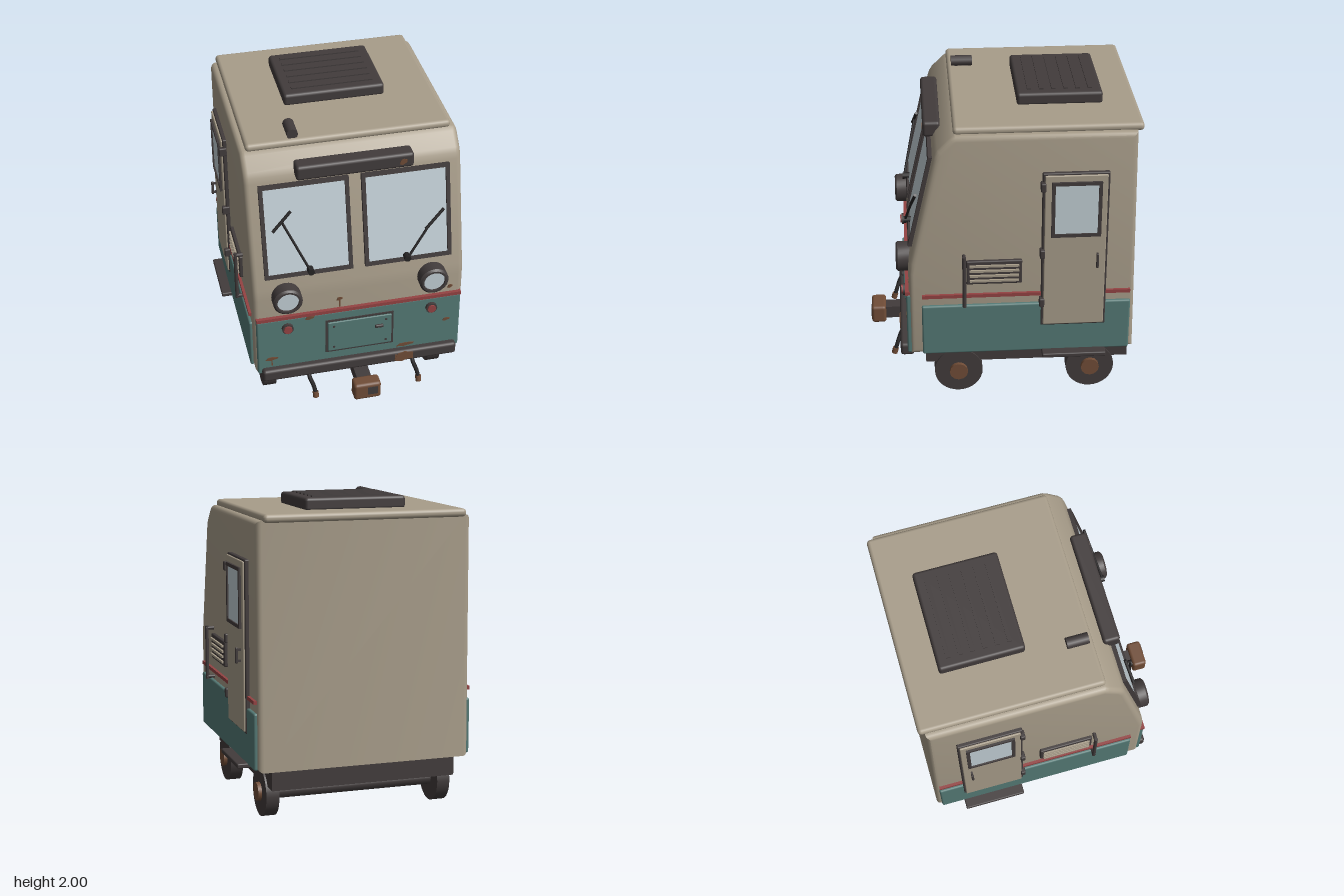
import * as THREE from 'three';
import { toCreasedNormals } from 'three/addons/utils/BufferGeometryUtils.js';
import { RoundedBoxGeometry } from 'three/addons/geometries/RoundedBoxGeometry.js';

const mat = (name, color) => Object.assign(new THREE.MeshStandardMaterial({ color }), { name });

export function createModel() {
  const root = new THREE.Group();
  root.name = 'railCab';
  const tan = mat('tanPaint', 0xa89d8a), teal = mat('tealPaint', 0x557a76), red = mat('redPaint', 0x944343);
  const dark = mat('darkMetal', 0x423c3c), black = mat('blackRubber', 0x262425);
  const glass = mat('paleGlass', 0xc3d0d6), rust = mat('rust', 0x714d37);

  const add = (name, geo, m, x = 0, y = 0, z = 0, parent = root) => {
    const mesh = new THREE.Mesh(geo, m);
    mesh.name = name;
    mesh.position.set(x, y, z);
    parent.add(mesh);
    return mesh;
  };
  // Boxes given by their limits on each axis; r rounds the edges
  const box = (name, m, [x0, x1], [y0, y1], [z0, z1], r = 0, parent = root) => {
    const s = [Math.abs(x1 - x0), Math.abs(y1 - y0), Math.abs(z1 - z0)];
    const geo = r ? new RoundedBoxGeometry(...s, 2, r) : new THREE.BoxGeometry(...s);
    return add(name, geo, m, (x0 + x1) / 2, (y0 + y1) / 2, (z0 + z1) / 2, parent);
  };
  const rod = (name, m, a, b, r, parent = root) => {
    const p = new THREE.Vector3(...a), d = new THREE.Vector3(...b).sub(p);
    const mesh = add(name, new THREE.CylinderGeometry(r, r, d.length(), 12), m, 0, 0, 0, parent);
    mesh.position.copy(p).addScaledVector(d, 0.5);
    mesh.quaternion.setFromUnitVectors(new THREE.Vector3(0, 1, 0), d.normalize());
    return mesh;
  };
  // Rectangular frame in the xy plane
  const frame = (w, h, t, depth) => {
    const s = new THREE.Shape(), hole = new THREE.Path();
    const rect = (p, a, b) => p.moveTo(-a, -b).lineTo(a, -b).lineTo(a, b).lineTo(-a, b).closePath();
    rect(s, w / 2, h / 2);
    rect(hole, w / 2 - t, h / 2 - t);
    s.holes.push(hole);
    return new THREE.ExtrudeGeometry(s, { depth, bevelEnabled: false });
  };

  // Body shell: side profile extruded across the width
  const profile = [[-0.845, 0.345], [0.594, 0.345], [0.594, 0.94], [0.585, 1.016], [0.424, 1.72],
    [0.413, 1.755], [0.395, 1.785], [0.32, 1.86], [0.29, 1.88], [-0.82, 1.88]];
  const R = 0.035, W = 0.69;
  const bodyGeo = new THREE.ExtrudeGeometry(new THREE.Shape(profile.map(p => new THREE.Vector2(...p))),
    { depth: 2 * (W - R), bevelThickness: R, bevelSize: R, bevelOffset: -R, bevelSegments: 4 });
  bodyGeo.translate(0, 0, R - W).rotateY(-Math.PI / 2).scale(1, 1, 1);
  add('bodyShell', toCreasedNormals(bodyGeo, 0.6), tan);
  box('roofPanel', tan, [-0.65, 0.65], [1.868, 1.92], [-0.86, 0.3], 0.024);

  // Roof unit with ribs, and horn
  box('roofUnit', dark, [-0.327, 0.327], [1.91, 1.992], [-0.645, -0.11], 0.02);
  for (let i = 0; i < 6; i++) {
    const z = -0.57 + i * 0.076;
    box('roofUnitRib', dark, [-0.265, 0.265], [1.985, 2.0], [z - 0.013, z + 0.013]);
  }
  box('hornBase', dark, [-0.38, -0.325], [1.91, 1.95], [0.16, 0.25]);
  rod('horn', dark, [-0.352, 1.945, 0.135], [-0.352, 1.945, 0.272], 0.036);

  // Front lower panel and stripe
  box('frontPanel', teal, [-0.677, 0.677], [0.35, 0.782], [0.57, 0.612], 0.012);
  box('frontStripe', red, [-0.677, 0.677], [0.78, 0.804], [0.58, 0.617]);

  // Service hatch
  box('hatchEdge', dark, [-0.228, 0.225], [0.458, 0.722], [0.6, 0.618]);
  box('hatchDoor', teal, [-0.214, 0.211], [0.472, 0.708], [0.61, 0.628], 0.006);
  box('hatchHandle', dark, [0.098, 0.155], [0.617, 0.64], [0.62, 0.642], 0.008);
  for (const x of [-0.175, 0.172]) for (const y of [0.505, 0.675])
    rod('hatchBolt', dark, [x, y, 0.62], [x, y, 0.632], 0.008);

  // Sloped windscreen; a group lies flush with the slope
  const k = 0.2285, slopeZ = y => 0.585 - k * (y - 1.016);
  for (const s of [-1, 1]) {
    const screen = new THREE.Group();
    screen.name = 'windscreen';
    screen.position.set(s * 0.323, 1.4, slopeZ(1.4));
    screen.rotation.x = -Math.atan(k);
    root.add(screen);
    add('windscreenFrame', frame(0.566, 0.628, 0.025, 0.035), dark, 0, 0, -0.01, screen);
    add('windscreenGlass', new THREE.BoxGeometry(0.52, 0.58, 0.008), glass, 0, 0, 0.008, screen);
  }

  // Wipers
  const out = (x, y, d = 0.045) => [x, y, slopeZ(y) + d];
  for (const [pivot, tip, b0, b1] of [
    [[-0.315, 1.13], [-0.475, 1.475], [-0.54, 1.425], [-0.42, 1.545]],
    [[0.31, 1.13], [0.455, 1.33], [0.435, 1.31], [0.555, 1.43]]]) {
    rod('wiperPivot', black, out(...pivot, 0), out(...pivot, 0.055), 0.022);
    rod('wiperArm', black, out(...pivot), out(...tip), 0.008);
    rod('wiperBlade', black, out(...b0), out(...b1), 0.01);
  }

  // Destination sign
  box('signBox', dark, [-0.372, 0.37], [1.735, 1.835], [0.37, 0.478], 0.02);

  // Headlights and marker lamps
  const ringGeo = (r, t, d) => new THREE.LatheGeometry(
    [[r - t, 0], [r, 0], [r, d - 0.012], [r - 0.012, d], [r - t, d], [r - t, 0]].map(p => new THREE.Vector2(...p)), 28)
    .rotateX(Math.PI / 2);
  for (const s of [-1, 1]) {
    add('headlightRing', toCreasedNormals(ringGeo(0.095, 0.025, 0.09), 0.5), dark, s * 0.477, 0.957, 0.58);
    rod('headlightLens', glass, [s * 0.477, 0.957, 0.58], [s * 0.477, 0.957, 0.655], 0.073);
    rod('markerRing', dark, [s * 0.477, 0.71, 0.59], [s * 0.477, 0.71, 0.632], 0.038);
    rod('markerLens', red, [s * 0.477, 0.71, 0.6], [s * 0.477, 0.71, 0.642], 0.028);
  }

  // Side fittings, mirrored
  for (const s of [-1, 1]) {
    const X = (a, b) => [s * a, s * b];
    box('sidePanel', teal, X(0.67, 0.71), [0.355, 0.712], [-0.814, 0.515], 0.012);
    box('sideStripe', red, X(0.68, 0.708), [0.768, 0.791], [-0.81, 0.512]);

    // Door with window, hinges and handle
    box('doorEdge', dark, X(0.67, 0.715), [0.548, 1.632], [-0.653, -0.24], 0.008);
    box('doorLeaf', tan, X(0.69, 0.726), [0.561, 1.619], [-0.64, -0.254], 0.006);
    const win = add('doorWindowFrame', frame(0.31, 0.378, 0.022, 0.03), dark, s * 0.71, 1.389, -0.45);
    win.rotation.y = s * Math.PI / 2;
    box('doorGlass', glass, X(0.724, 0.731), [1.22, 1.56], [-0.585, -0.315]);
    for (const y of [1.545, 1.08, 0.727])
      box('doorHinge', dark, X(0.69, 0.742), [y - 0.03, y + 0.03], [-0.26, -0.228], 0.008);
    box('doorHandle', dark, X(0.745, 0.762), [0.985, 1.085], [-0.595, -0.579], 0.006);
    for (const y of [1.0, 1.07]) box('doorHandleStub', dark, X(0.72, 0.75), [y - 0.007, y + 0.007], [-0.593, -0.581]);
    box('doorStep', dark, X(0.6, 0.775), [0.335, 0.365], [-0.66, -0.25], 0.008);

    // Louvred vent
    box('ventPlate', dark, X(0.67, 0.712), [0.866, 1.032], [-0.12, 0.23], 0.008);
    for (let i = 0; i < 4; i++) {
      const y = 0.895 + i * 0.035;
      box('ventSlat', tan, X(0.7, 0.724), [y - 0.007, y + 0.007], [-0.1, 0.21]);
    }

    // Grab rail
    rod('grabRail', dark, [s * 0.738, 0.72, 0.245], [s * 0.738, 1.08, 0.245], 0.012);
    for (const y of [0.735, 1.065])
      rod('grabRailStub', dark, [s * 0.68, y, 0.245], [s * 0.745, y, 0.245], 0.012);
  }

  // Underframe, bumper and coupler
  box('underframe', dark, [-0.6, 0.6], [0.222, 0.35], [-0.825, 0.495]);
  box('bumper', dark, [-0.652, 0.652], [0.312, 0.398], [0.57, 0.658], 0.02);
  box('couplerShank', dark, [-0.048, 0.048], [0.225, 0.31], [0.45, 0.77]);
  box('couplerHead', rust, [-0.09, 0.09], [0.21, 0.335], [0.755, 0.853], 0.02);
  box('couplerFace', dark, [0, 0.065], [0.25, 0.31], [0.849, 0.856]);

  // Brake hoses
  for (const [x0, x1] of [[-0.35, -0.315], [0.35, 0.385]]) {
    const curve = new THREE.CatmullRomCurve3([[x0, 0.36, 0.62], [x0 + 0.005, 0.3, 0.655], [x1 - 0.008, 0.235, 0.68],
      [x1, 0.19, 0.695]].map(p => new THREE.Vector3(...p)));
    add('brakeHose', new THREE.TubeGeometry(curve, 12, 0.014, 8), black);
    rod('hoseEnd', rust, [x1, 0.2, 0.693], [x1, 0.162, 0.703], 0.02);
  }

  // Wheel sets
  for (const z of [0.283, -0.58]) {
    rod('axle', dark, [-0.56, 0.15, z], [0.56, 0.15, z], 0.048);
    for (const s of [-1, 1]) {
      rod('wheel', dark, [s * 0.528, 0.157, z], [s * 0.612, 0.157, z], 0.157)
        .geometry = new THREE.CylinderGeometry(0.157, 0.157, 0.084, 32);
      rod('wheelHub', rust, [s * 0.6, 0.157, z], [s * 0.636, 0.157, z], 0.06);
      box('axleHanger', dark, [s * 0.44, s * 0.528], [0.185, 0.235], [z - 0.06, z + 0.06]);
    }
  }

  // Rust patches: thin ragged plates, some with a drip
  const ragged = [[-0.5, -0.3], [-0.1, -0.5], [0.2, -0.25], [0.45, -0.1], [0.5, 0.3], [0.05, 0.5], [-0.3, 0.35]];
  const patch = (x, y, z, w, h, drip = 0) => {
    const shape = new THREE.Shape(ragged.map(([a, b]) => new THREE.Vector2(a * w, b * h)));
    const mesh = add('rustPatch', new THREE.ExtrudeGeometry(shape, { depth: 0.006, bevelEnabled: false }), rust, x, y, z);
    if (drip) box('rustDrip', rust, [x - 0.004, x + 0.004], [y - drip, y], [z, z + 0.005]);
    return mesh;
  };
  patch(-0.13, 0.873, 0.592, 0.04, 0.028, 0.065);
  patch(-0.33, 0.766, 0.61, 0.06, 0.03);
  patch(-0.585, 0.468, 0.61, 0.085, 0.028, 0.055);
  patch(0.31, 0.422, 0.61, 0.12, 0.028);
  patch(0.585, 0.587, 0.61, 0.05, 0.024);
  patch(0.605, 0.845, 0.592, 0.035, 0.028);
  patch(0.3, 1.782, 0.475, 0.05, 0.045);
  box('bumperRust', rust, [0.23, 0.355], [0.33, 0.38], [0.655, 0.661]);
  patch(0.29, 0.357, 0.656, 0.13, 0.08);
  patch(0.25, 0.223, -0.33, 0.3, 0.22).rotation.x = Math.PI / 2;

  return root;
}
